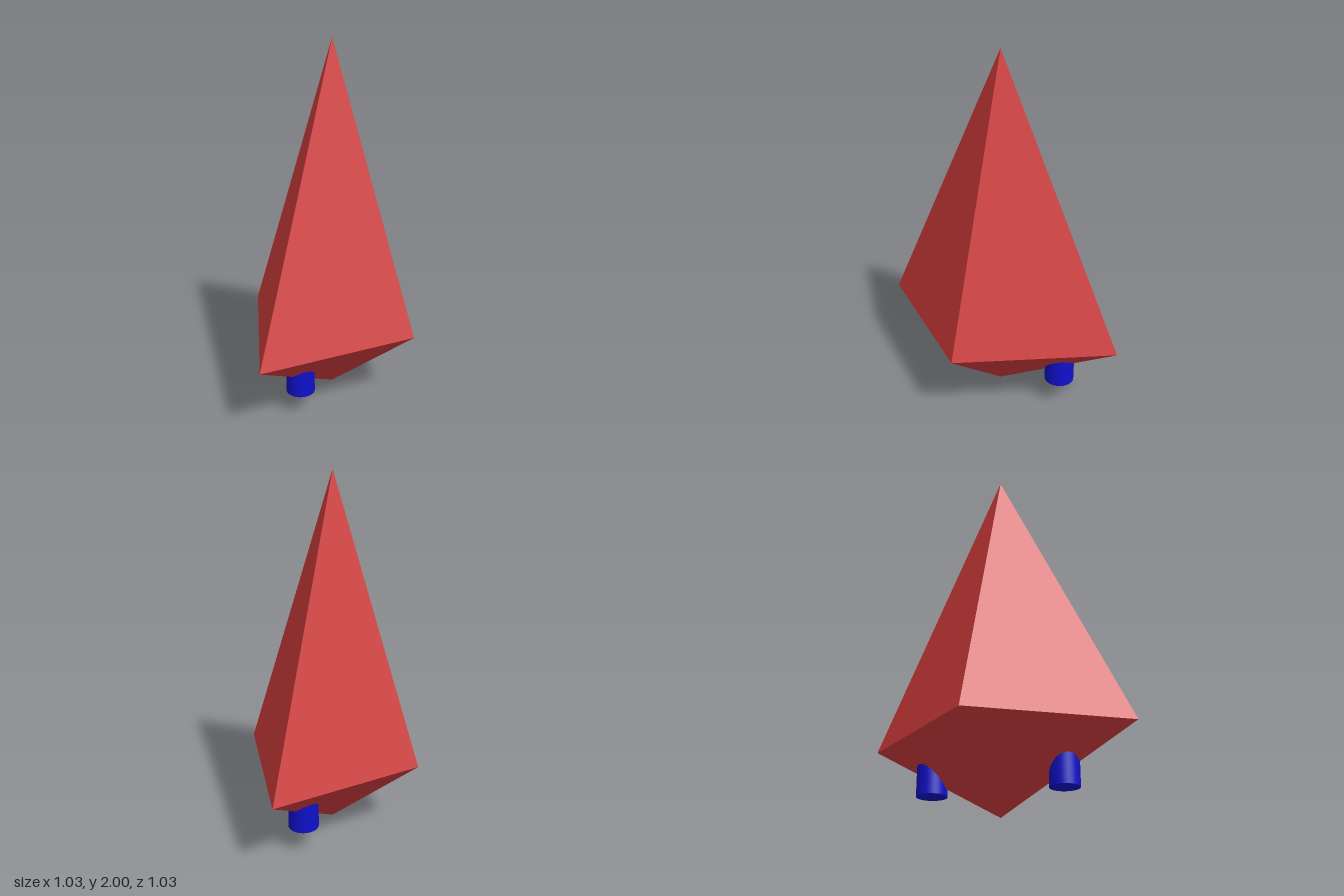
import * as THREE from 'three';

const RED = 0xd23c3c;
const BLUE = 0x1010cc;

// Rim corners (x, z), counter-clockwise seen from above
const RIM = [[0.515, -0.517], [-0.363, -0.363], [-0.517, 0.515], [0.363, 0.363]];
const RIM_Y = 0.42;

// Pyramid from the rim to a point on the y axis
function pyramid(tipY) {
  const points = [];
  RIM.forEach(([x, z], i) => {
    const [nx, nz] = RIM[(i + 1) % RIM.length];
    const a = [x, RIM_Y, z], b = [nx, RIM_Y, nz], tip = [0, tipY, 0];
    points.push(...(tipY > RIM_Y ? [b, a, tip] : [a, b, tip]));
  });
  const geometry = new THREE.BufferGeometry();
  geometry.setAttribute('position', new THREE.Float32BufferAttribute(points.flat(), 3));
  geometry.computeVertexNormals();
  return geometry;
}

export function createModel() {
  const group = new THREE.Group();
  const red = new THREE.MeshStandardMaterial({ color: RED, flatShading: true });
  const blue = new THREE.MeshStandardMaterial({ color: BLUE });

  const add = (name, geometry, material) => {
    const mesh = new THREE.Mesh(geometry, material);
    mesh.name = name;
    group.add(mesh);
    return mesh;
  };

  // Tall upper spire and short lower point share the skewed rim
  add('upperSpire', pyramid(2), fixWinding(red));
  add('lowerPoint', pyramid(0), fixWinding(red));

  // Round pegs under the two long corners, sunk into the body
  const peg = (name, x, z, bottom, radius) => {
    const height = 0.4 - bottom;
    add(name, new THREE.CylinderGeometry(radius, radius, height, 40), blue)
      .position.set(x, bottom + height / 2, z);
  };
  peg('frontPeg', -0.245, 0.24, 0.12, 0.078);
  peg('backPeg', 0.272, -0.275, 0.142, 0.082);

  return group;
}

// Both pyramids are seen from outside only
function fixWinding(material) {
  material.side = THREE.DoubleSide;
  return material;
}
